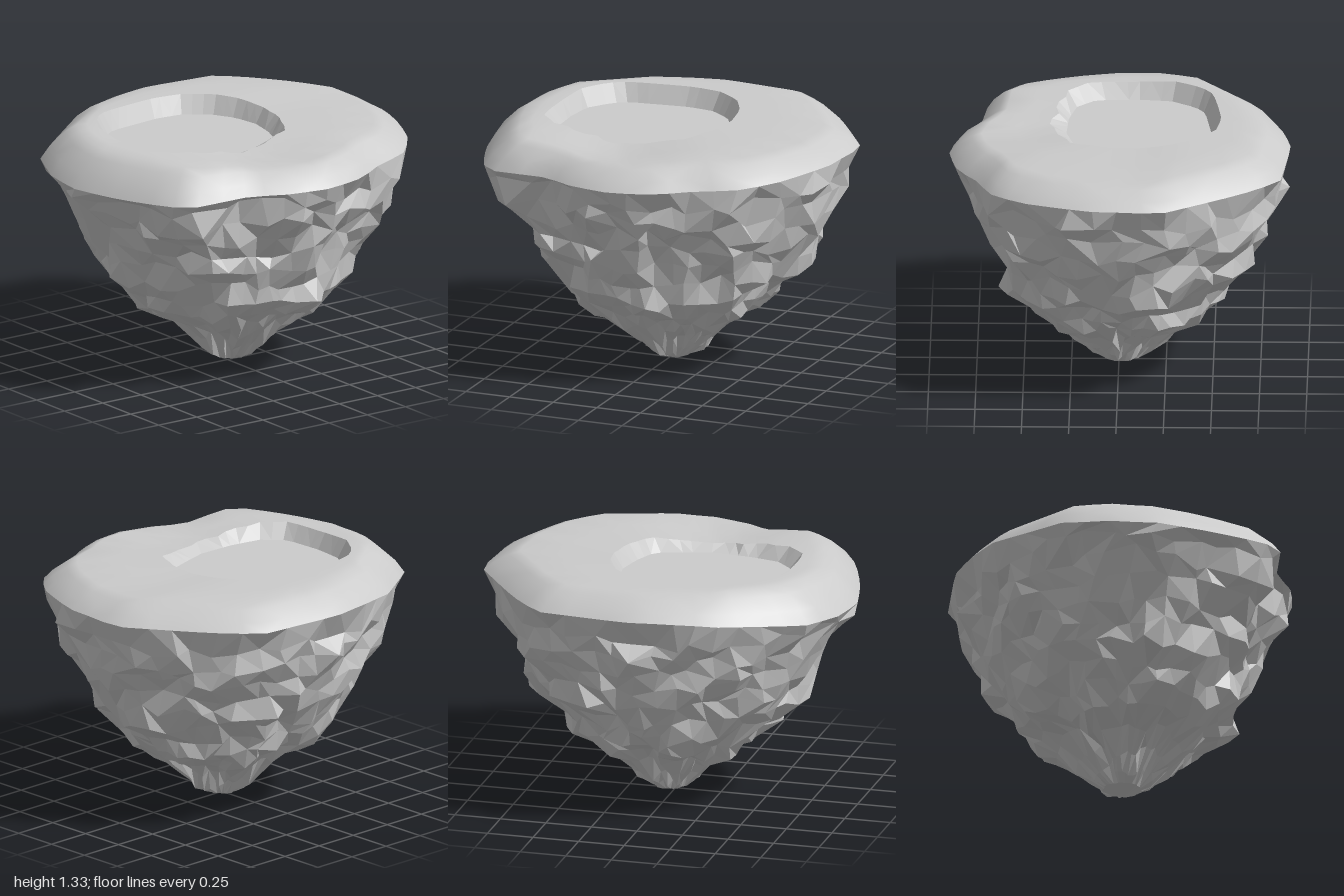
import * as THREE from 'three';

const N = 48; // points per ring

// Outline of the island and of the pond, as [x, z] corners
const RIM = [[1, -0.23], [0.98, 0], [0.97, 0.15], [0.9, 0.33], [0.81, 0.52], [0.65, 0.68], [0.45, 0.74],
  [0.26, 0.85], [0.02, 0.9], [-0.2, 0.86], [-0.41, 0.74], [-0.77, 0.7], [-0.88, 0.45], [-0.95, 0.23],
  [-1, 0], [-0.97, -0.25], [-0.86, -0.5], [-0.46, -0.79], [-0.2, -0.87], [0.02, -0.91], [0.52, -0.86],
  [0.71, -0.65], [0.85, -0.45]];
const POND = [[0.26, -0.1], [0.23, 0.05], [0.17, 0.2], [0, 0.25], [-0.12, 0.28], [-0.33, 0.27], [-0.5, 0.23],
  [-0.6, 0.13], [-0.61, -0.1], [-0.59, -0.27], [-0.5, -0.4], [-0.42, -0.45], [-0.1, -0.49], [0.05, -0.47],
  [0.17, -0.38], [0.24, -0.25]];
const POND_X = -0.17, POND_Z = -0.1, WATER_Y = 1.23;

// Rock radii towards right, front, left and back at each height
const ROCK = [[1.08, 0.97, 0.87, 0.97, 0.88], [0.98, 0.94, 0.83, 0.93, 0.86], [0.88, 0.88, 0.78, 0.85, 0.84],
  [0.78, 0.83, 0.7, 0.79, 0.79], [0.68, 0.79, 0.66, 0.77, 0.74], [0.58, 0.72, 0.63, 0.72, 0.68],
  [0.48, 0.62, 0.6, 0.63, 0.62], [0.39, 0.56, 0.52, 0.56, 0.56], [0.32, 0.48, 0.44, 0.46, 0.48],
  [0.25, 0.34, 0.36, 0.31, 0.37], [0.16, 0.24, 0.24, 0.2, 0.26], [0.09, 0.18, 0.15, 0.14, 0.18],
  [0.03, 0.09, 0.09, 0.09, 0.12]];

// Distance from a centre to a polygon along an angle
function reach(poly, cx, cz, a) {
  const dx = Math.cos(a), dz = Math.sin(a);
  let best = 0;
  poly.forEach(([x0, z0], i) => {
    const [x1, z1] = poly[(i + 1) % poly.length];
    const ex = x1 - x0, ez = z1 - z0, den = dx * ez - dz * ex;
    if (Math.abs(den) < 1e-9) return;
    const t = ((x0 - cx) * ez - (z0 - cz) * ex) / den;
    const s = ((x0 - cx) * dz - (z0 - cz) * dx) / den;
    if (t > 0 && s >= -1e-6 && s <= 1 + 1e-6) best = Math.max(best, t);
  });
  return best;
}

// Blend four compass values around the island
function compass([e, f, w, b], a) {
  const c = Math.cos(a), s = Math.sin(a);
  return c * c * (c > 0 ? e : w) + s * s * (s > 0 ? f : b);
}

function hash(i, j) {
  const v = Math.sin(i * 127.1 + j * 311.7) * 43758.5453;
  return v - Math.floor(v);
}

// Skin between closed rings, first ring innermost or highest
function loft(rings) {
  const pos = rings.flat(2), idx = [];
  for (let r = 0; r < rings.length - 1; r++) {
    for (let i = 0; i < N; i++) {
      const j = (i + 1) % N, a = r * N + i, b = r * N + j, c = a + N, d = b + N;
      if (hash(i, r + 50) > 0.5) idx.push(a, b, c, b, d, c);
      else idx.push(a, d, c, a, b, d);
    }
  }
  const g = new THREE.BufferGeometry();
  g.setAttribute('position', new THREE.Float32BufferAttribute(pos, 3));
  g.setIndex(idx);
  g.computeVertexNormals();
  return g;
}

const ring = (fn) => Array.from({ length: N }, (_, i) => fn((i / N) * Math.PI * 2, i));

function rimPoint(a, scale = 1) {
  const r = reach(RIM, 0, 0, a) * scale;
  return [r * Math.cos(a), compass([1.21, 1.16, 1.12, 1.21], a), r * Math.sin(a)];
}

// Gently rolling ground, lower in front of the pond
function groundY(x, z) {
  const dip = Math.exp(-((x + 0.1) ** 2) / 0.1 - ((z - 0.5) ** 2) / 0.1);
  return 1.31 + 0.018 * THREE.MathUtils.smoothstep(-z, 0, 0.4) - 0.06 * dip;
}

function pondPoint(a, extra, y) {
  const r = reach(POND, POND_X, POND_Z, a) + extra;
  const x = POND_X + r * Math.cos(a), z = POND_Z + r * Math.sin(a);
  return [x, y ?? groundY(x, z), z];
}

// Bank is steep at the left and back, wider and broken at the front
function bankPoint(a, i) {
  const front = Math.max(0, Math.sin(a));
  return pondPoint(a, 0.05 + front * 0.04 * hash(i, 3));
}

function rockRing([y, ...radii], k) {
  const fade = Math.max(0, 1 - k / 7);
  return ring((a, i) => {
    const ratio = reach(RIM, 0, 0, a) / compass([0.99, 0.9, 1, 0.91], a);
    const base = compass(radii, a) * (1 + (ratio - 1) * fade);
    // Broad bulges and ledges, then a chipped grain
    const wave = Math.sin(5 * a + y * 9) * Math.sin(3 * a - y * 14 + 1) + 0.7 * Math.sin(9 * a + y * 17);
    const size = Math.min(1, base * 1.6);
    const r = base + size * (0.03 * wave - 0.01 + 0.05 * (hash(i, k) - 0.6));
    const angle = a + (hash(i, k + 20) - 0.5) * 0.09;
    const lift = k === ROCK.length - 1 ? 0 : (hash(i, k + 40) - 0.5) * 0.06 + 0.02 * Math.sin(4 * a + k);
    return [r * Math.cos(angle) + 0.02 * (k / 12), Math.max(0.015, y + lift), r * Math.sin(angle)];
  });
}

export function createModel() {
  const island = new THREE.Group();
  island.name = 'floatingIsland';
  const add = (name, geometry, flatShading = false) => {
    const mesh = new THREE.Mesh(geometry, new THREE.MeshStandardMaterial({ color: 0xcccccc, flatShading }));
    mesh.name = name;
    island.add(mesh);
  };

  // Flat water surface
  add('pondWater', loft([ring(() => [POND_X, WATER_Y, POND_Z]), ring((a) => pondPoint(a, 0, WATER_Y))]));

  // Bank around the water
  add('pondBank', loft([ring((a) => pondPoint(a, 0, WATER_Y)), ring(bankPoint)]), true);

  // Ground from the bank out to the sloping edge
  const shoulder = (a, scale, drop) => {
    const [x, edgeY, z] = rimPoint(a, scale);
    return [x, THREE.MathUtils.lerp(groundY(x, z), edgeY, drop), z];
  };
  const middle = ring((a, i) => {
    const p = bankPoint(a, i), q = shoulder(a, 0.81, 0);
    const x = (p[0] + q[0]) / 2, z = (p[2] + q[2]) / 2;
    return [x, groundY(x, z), z];
  });
  add('ground', loft([
    ring(bankPoint),
    middle,
    ring((a) => shoulder(a, 0.81, 0.03)),
    ring((a) => shoulder(a, 0.87, 0.22)),
    ring((a) => shoulder(a, 0.95, 0.62)),
    ring((a) => rimPoint(a)),
  ]));

  // Rugged underside tapering to a blunt tip
  add('rockUnderside', loft([
    ring((a) => rimPoint(a)),
    ...ROCK.map(rockRing),
    ring(() => [0.04, 0, 0]),
  ]), true);

  return island;
}
